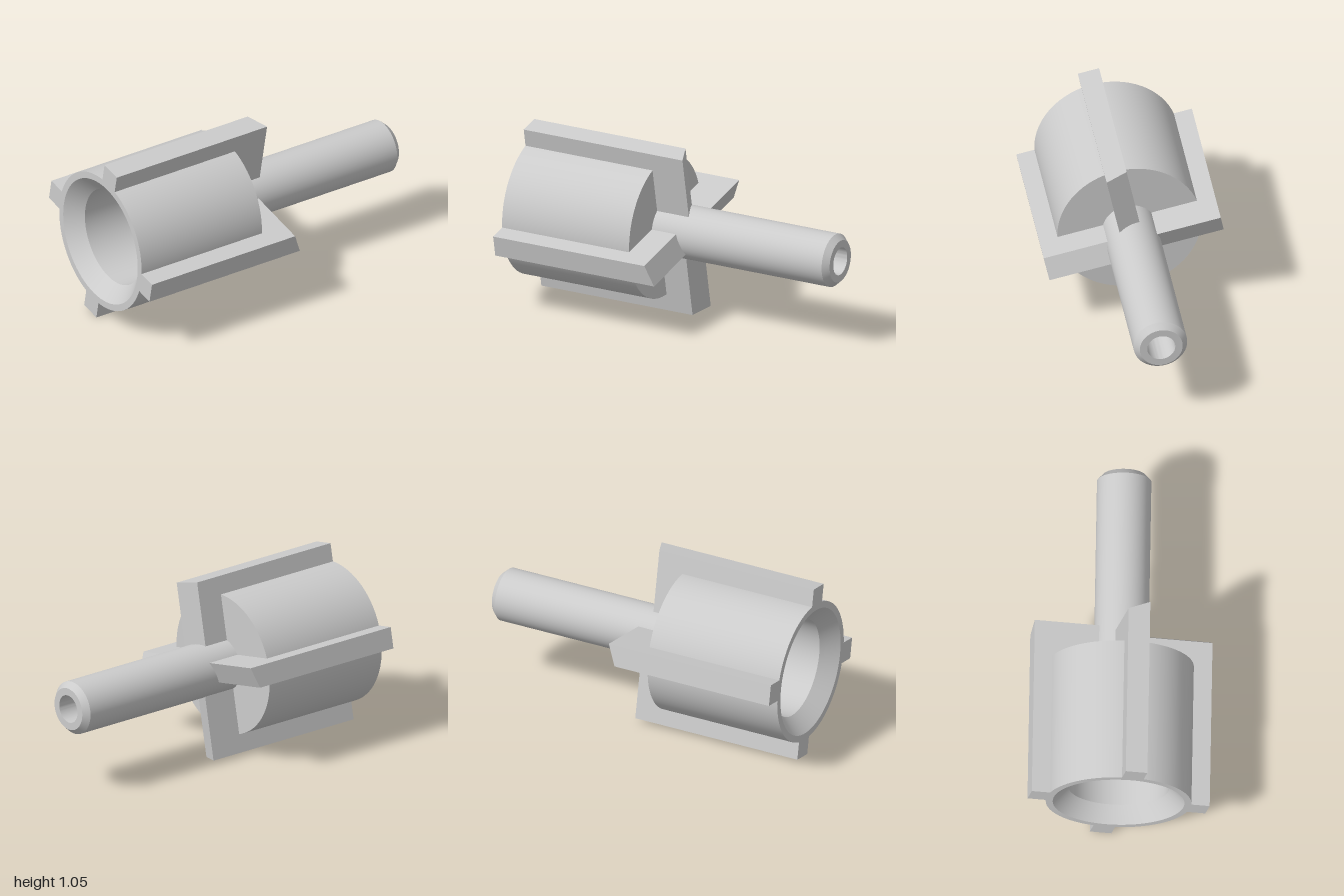
import * as THREE from 'three';
import { toCreasedNormals } from 'three/addons/utils/BufferGeometryUtils.js';

const AXIS_Y = 0.528;
const FIN_HALF = 0.0635;
const FIN_TILT = 0.2;

// Hollow drum and bored shaft, turned as one closed profile of [radius, x]
function turnedBody() {
  const profile = [
    [0.38, -1], [0.42, -1], [0.42, -0.16],           // rim and drum wall
    [0.157, -0.16], [0.157, 0.965], [0.125, 1],      // shoulder, shaft, chamfer
    [0.082, 1], [0.082, -0.3],                       // through bore
    [0.29, -0.3], [0.29, -0.91], [0.38, -1],         // rear cavity and flared mouth
  ].map(([r, x]) => new THREE.Vector2(r, x));
  const geometry = new THREE.LatheGeometry(profile, 72);
  geometry.rotateZ(-Math.PI / 2);
  return toCreasedNormals(geometry, 0.3);
}

// L-shaped fin: rides on the drum and reaches in to the shaft ahead of it
function finGeometry() {
  const shape = new THREE.Shape([
    [-1, 0.395], [-0.2, 0.395], [-0.2, 0.13], [0.05, 0.13], [0.05, 0.523], [-1, 0.523],
  ].map(([x, r]) => new THREE.Vector2(x, r)));
  const geometry = new THREE.ExtrudeGeometry(shape, { depth: 2 * FIN_HALF, bevelEnabled: false });
  geometry.translate(0, 0, -FIN_HALF);
  // Slant the leading end across the fin's thickness
  const pos = geometry.attributes.position;
  for (let i = 0; i < pos.count; i++) {
    if (pos.getX(i) > 0 && pos.getZ(i) < 0) pos.setX(i, 0);
  }
  geometry.computeVertexNormals();
  return geometry;
}

export function createModel() {
  const model = new THREE.Group();
  model.name = 'finnedCutter';
  const material = new THREE.MeshStandardMaterial({ color: 0xcccccc });

  const body = new THREE.Mesh(turnedBody(), material);
  body.name = 'drumAndShaft';
  body.position.y = AXIS_Y;
  model.add(body);

  // Four fins around the axis
  const geometry = finGeometry();
  for (let i = 0; i < 4; i++) {
    const fin = new THREE.Mesh(geometry, material);
    fin.name = `fin${i + 1}`;
    fin.position.y = AXIS_Y;
    fin.rotation.x = FIN_TILT + i * Math.PI / 2;
    model.add(fin);
  }
  return model;
}
